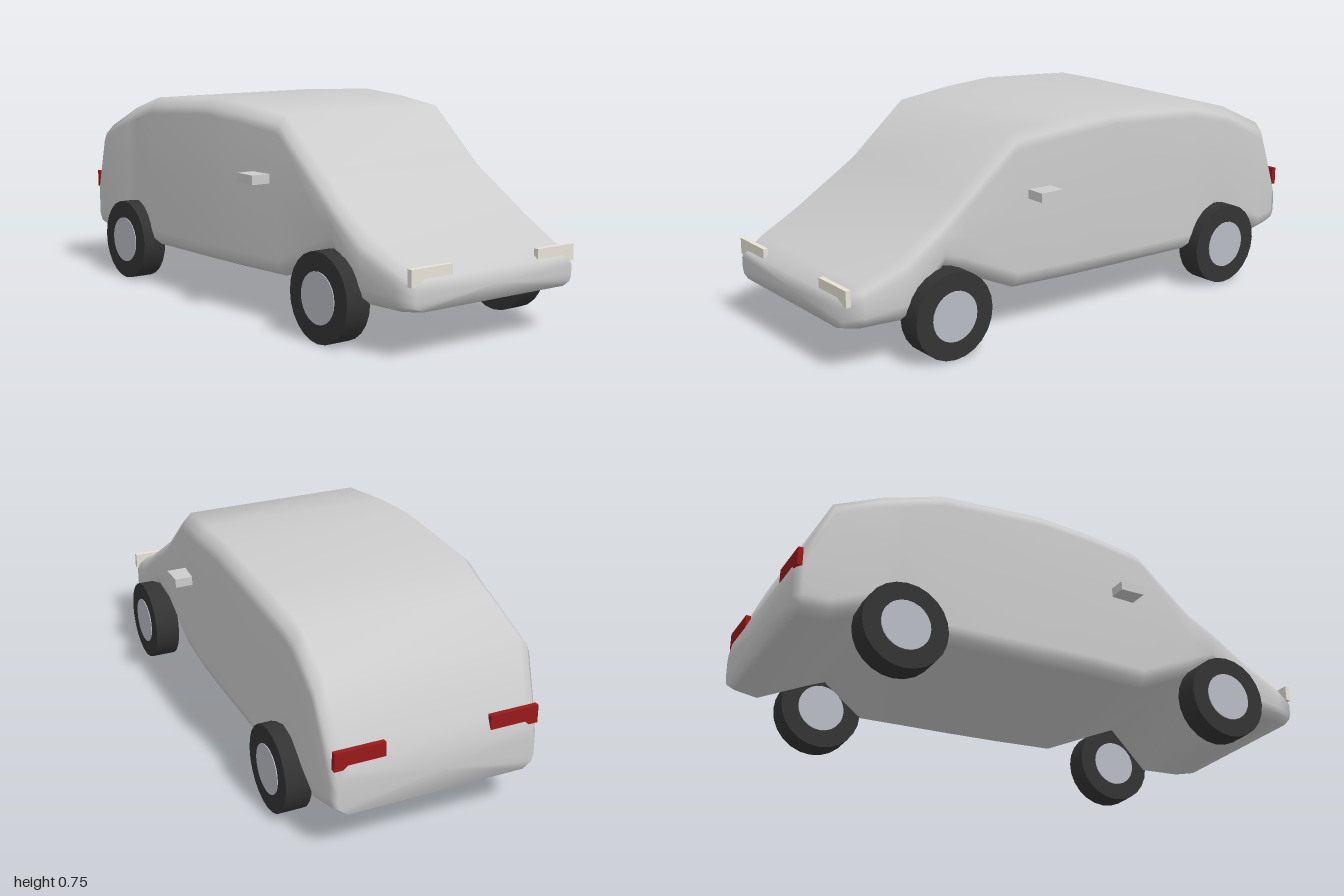
import * as THREE from 'three';

const paint = (color) => new THREE.MeshStandardMaterial({ color });

// Body stations from nose to tail: z, floor height, roof height, half width
const STATIONS = [
  [1.0, 0.16, 0.26, 0.345], [0.93, 0.15, 0.3, 0.37], [0.78, 0.15, 0.37, 0.388],
  [0.63, 0.3, 0.465, 0.385], [0.54, 0.258, 0.53, 0.372], [0.32, 0.16, 0.715, 0.378],
  [0.1, 0.158, 0.738, 0.395], [-0.1, 0.155, 0.75, 0.4], [-0.49, 0.15, 0.725, 0.403],
  [-0.63, 0.26, 0.69, 0.385], [-0.7, 0.23, 0.67, 0.383], [-0.88, 0.15, 0.585, 0.395],
  [-0.97, 0.155, 0.385, 0.375], [-1.0, 0.16, 0.32, 0.36],
];

// Chamfered cross-section, counter-clockwise seen from the front
function section([z, y0, y1, w]) {
  const k = Math.min(1, (y1 - y0) / 0.2);
  const half = [
    [w - 0.038, y0], [w - 0.008, y0 + 0.025 * k], [w, y0 + 0.06 * k],
    [w, (y0 + y1) / 2], [w, y1 - 0.06 * k], [w - 0.01, y1 - 0.032 * k], [w - 0.042, y1],
  ];
  const mirrored = half.map(([x, y]) => [-x, y]).reverse();
  return [...half, ...mirrored].map(([x, y]) => [x, y, z]);
}

function bodyGeometry() {
  const rings = STATIONS.map(section);
  const n = rings[0].length;
  const last = (rings.length - 1) * n;
  const points = rings.flat();
  const index = [];
  for (let i = 0; i < rings.length - 1; i++) {
    for (let j = 0; j < n; j++) {
      const a = i * n + j, b = i * n + (j + 1) % n;
      index.push(a, a + n, b, b, a + n, b + n);
    }
  }
  // Nose and tail caps
  const nose = points.length, tail = nose + 1;
  for (const s of [STATIONS[0], STATIONS.at(-1)]) points.push([0, (s[1] + s[2]) / 2, s[0]]);
  for (let j = 0; j < n; j++) {
    const k = (j + 1) % n;
    index.push(nose, j, k, tail, last + k, last + j);
  }
  const geometry = new THREE.BufferGeometry();
  geometry.setAttribute('position', new THREE.Float32BufferAttribute(points.flat(), 3));
  geometry.setIndex(index);
  geometry.computeVertexNormals();
  return geometry;
}

export function createModel() {
  const car = new THREE.Group();
  car.name = 'car';
  const grey = paint(0xcccccc), rubber = paint(0x333333), metal = paint(0xb8bcc4);
  const lampWhite = paint(0xe6e2d6), lampRed = paint(0x991a1a);

  const add = (name, geometry, material, x, y, z, parent = car) => {
    const mesh = new THREE.Mesh(geometry, material);
    mesh.name = name;
    mesh.position.set(x, y, z);
    parent.add(mesh);
    return mesh;
  };

  add('body', bodyGeometry(), grey, 0, 0, 0);

  const tyre = new THREE.CylinderGeometry(0.153, 0.153, 0.093, 24).rotateZ(Math.PI / 2);
  const hub = new THREE.CylinderGeometry(0.088, 0.088, 0.099, 24).rotateZ(Math.PI / 2);
  const mirror = new THREE.BoxGeometry(0.085, 0.033, 0.092);
  const headlight = new THREE.BoxGeometry(0.17, 0.057, 0.018);
  const taillight = new THREE.BoxGeometry(0.18, 0.065, 0.018);

  for (const [side, s] of [['left', 1], ['right', -1]]) {
    // Wheels
    for (const [end, z] of [['Front', 0.635], ['Rear', -0.637]]) {
      const wheel = new THREE.Group();
      wheel.name = `${side}${end}Wheel`;
      wheel.position.set(s * 0.396, 0.154, z);
      car.add(wheel);
      add('tyre', tyre, rubber, 0, 0, 0, wheel);
      add('hub', hub, metal, 0, 0, 0, wheel);
    }
    // Door mirrors and lamps
    add(`${side}Mirror`, mirror, grey, s * 0.411, 0.497, 0.234);
    add(`${side}Headlight`, headlight, lampWhite, s * 0.274, 0.269, 0.986);
    add(`${side}Taillight`, taillight, lampRed, s * 0.28, 0.354, -0.984);
  }
  return car;
}
